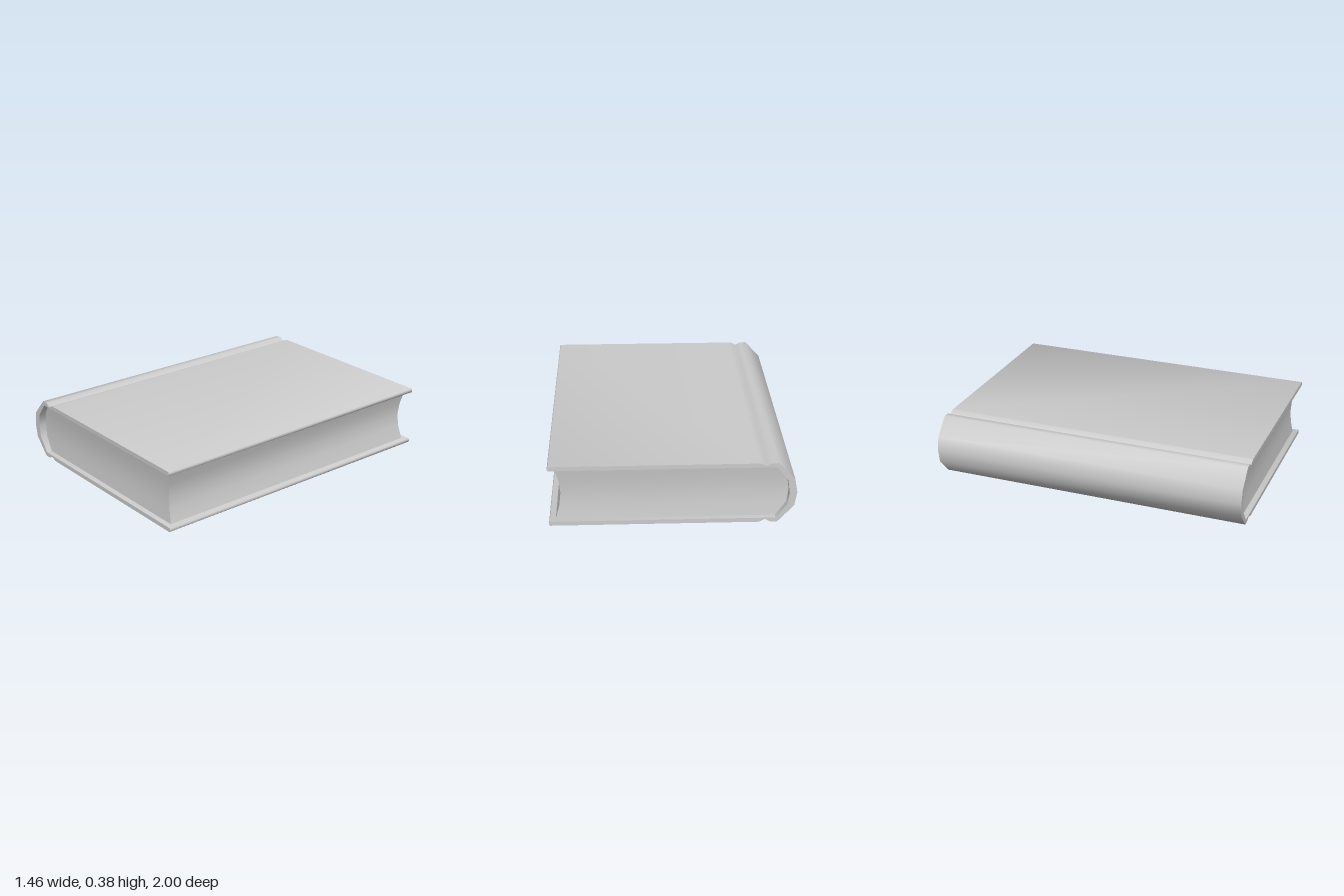
import * as THREE from 'three';
import { toCreasedNormals } from 'three/addons/utils/BufferGeometryUtils.js';

const HEIGHT = 0.385;
const MID = HEIGHT / 2;

// Upper half of the cover's cross-section: [x, height above the middle]
const OUTER = [
  [-0.733, 0], [-0.718, 0.086], [-0.62, MID], [-0.578, MID], [-0.547, MID - 0.018],
  [-0.512, MID], [-0.5, MID], [0.724, MID], [0.73, MID - 0.006],
];
const INNER = [
  [0.73, 0.172], [0.724, 0.166], [-0.61, 0.166], [-0.676, 0.08], [-0.688, 0],
];

// Page block rows from the middle outwards: height, spine x, fore-edge x, half length
const ROWS = [
  [0, -0.688, 0.659, 0.95],
  [0.08, -0.676, 0.668, 0.954],
  [0.166, -0.61, 0.692, 0.965],
];

function makeCover() {
  // One closed C-shaped outline, mirrored about the middle height
  const upper = [...OUTER, ...INNER];
  const lower = upper.slice(1, -1).reverse().map(([x, y]) => [x, -y]);
  const shape = new THREE.Shape(
    [...upper, ...lower].map(([x, y]) => new THREE.Vector2(x, MID + y)));
  const geometry = new THREE.ExtrudeGeometry(shape, { depth: 2, bevelEnabled: false });
  geometry.translate(0, 0, -1);
  return toCreasedNormals(geometry, 0.85);
}

function makePages() {
  // A box with four rows, bent to the rounded spine and hollow edges
  const geometry = new THREE.BoxGeometry(2, 4, 2, 1, 4, 1);
  const p = geometry.attributes.position;
  for (let i = 0; i < p.count; i++) {
    const row = Math.round(p.getY(i));
    const [h, spineX, foreX, halfLength] = ROWS[Math.abs(row)];
    p.setXYZ(i,
      p.getX(i) < 0 ? spineX : foreX,
      MID + Math.sign(row) * h,
      Math.sign(p.getZ(i)) * halfLength);
  }
  geometry.computeVertexNormals();
  return geometry;
}

export function createModel() {
  const group = new THREE.Group();
  group.name = 'book';
  const material = new THREE.MeshStandardMaterial({ color: 0xcccccc });

  const cover = new THREE.Mesh(makeCover(), material);
  cover.name = 'cover';
  const pages = new THREE.Mesh(makePages(), material);
  pages.name = 'pages';

  group.add(cover, pages);
  return group;
}
